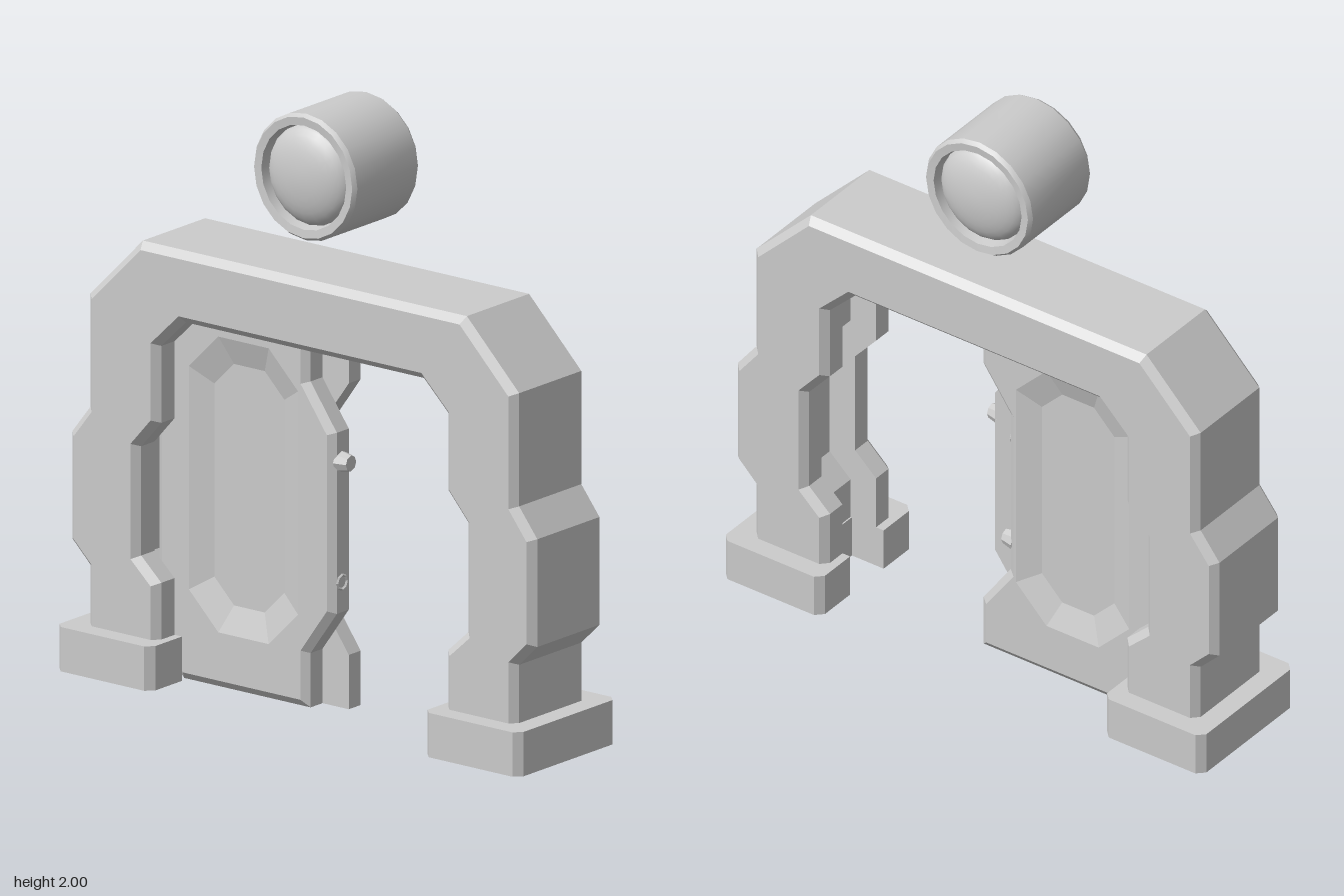
import * as THREE from 'three';
import { toCreasedNormals } from 'three/addons/utils/BufferGeometryUtils.js';

const flat = new THREE.MeshStandardMaterial({ color: 0xcccccc, flatShading: true });
const smooth = new THREE.MeshStandardMaterial({ color: 0xcccccc });

function add(parent, name, geometry, material = flat) {
  const mesh = new THREE.Mesh(geometry, material);
  mesh.name = name;
  parent.add(mesh);
  return mesh;
}

// Mitred offset of a 2D path towards its left side
function offset(pts, d, closed = false) {
  const n = pts.length;
  const normal = (i) => {
    if (closed) i = (i + n) % n;
    else i = Math.min(Math.max(i, 0), n - 2);
    const a = pts[i], b = pts[(i + 1) % n];
    const l = Math.hypot(b[0] - a[0], b[1] - a[1]);
    return [-(b[1] - a[1]) / l, (b[0] - a[0]) / l];
  };
  return pts.map((p, i) => {
    const u = normal(i - 1), v = normal(i);
    const k = d / (1 + u[0] * v[0] + u[1] * v[1]);
    return [p[0] + (u[0] + v[0]) * k, p[1] + (u[1] + v[1]) * k];
  });
}

// Skin between closed rings of equal length
function loft(rings) {
  const pos = [];
  for (let i = 0; i < rings.length - 1; i++) {
    const a = rings[i], b = rings[i + 1];
    for (let j = 0; j < a.length; j++) {
      const k = (j + 1) % a.length;
      pos.push(...a[j], ...a[k], ...b[k], ...a[j], ...b[k], ...b[j]);
    }
  }
  const g = new THREE.BufferGeometry();
  g.setAttribute('position', new THREE.Float32BufferAttribute(pos, 3));
  g.computeVertexNormals();
  return g;
}

const atZ = (pts, z) => pts.map(([x, y]) => [x, y, z]);
const toShape = (pts) => new THREE.Shape(pts.map(([x, y]) => new THREE.Vector2(x, y)));
const mirrored = (half) => [...half, ...half.slice().reverse().map(([x, y]) => [-x, y])];

function octagon(x0, x1, y0, y1, c) {
  return [[x0 + c, y0], [x1 - c, y0], [x1, y0 + c], [x1, y1 - c],
    [x1 - c, y1], [x0 + c, y1], [x0, y1 - c], [x0, y0 + c]];
}

// Arch with bevelled edges and a door channel along its inner side
function archGeometry() {
  const outer = mirrored([[0.873, 0.02], [0.873, 0.34], [0.947, 0.413], [0.947, 0.77],
    [0.873, 0.865], [0.873, 1.24], [0.66, 1.455]]);
  const inner = mirrored([[0.585, 0.02], [0.585, 0.335], [0.667, 0.41], [0.667, 0.772],
    [0.585, 0.865], [0.585, 1.12], [0.485, 1.217]]);
  const outerFace = offset(outer, 0.024);
  const innerFace = offset(inner, -0.024);
  const channel = offset(inner, -0.1);
  const F = 0.182, E = 0.157, S = 0.09;
  return loft(outer.map((o, i) => {
    const half = [[outerFace[i], -F], [innerFace[i], -F], [inner[i], -E], [inner[i], -S], [channel[i], -S]];
    const back = half.map(([p, z]) => [p[0], p[1], z]);
    const front = half.slice().reverse().map(([p, z]) => [p[0], p[1], -z]);
    return [[...o, E], [...o, -E], ...back, ...front];
  }));
}

// Foot block with chamfered corners and a notch for the door
function footGeometry() {
  const a = 0.555, b = 0.945, d = 0.25, c = 0.025, s = 0.09, n = 0.68;
  const g = new THREE.ExtrudeGeometry(toShape([
    [a + c, -d], [b - c, -d], [b, -d + c], [b, d - c], [b - c, d], [a + c, d],
    [a, d - c], [a, s], [n, s], [n, -s], [a, -s], [a, -d + c],
  ]), { depth: 0.147, bevelEnabled: false });
  return g.rotateX(-Math.PI / 2);
}

// One of the two interlocking door layers; the back one is turned upside down
const DOOR_H = 1.26, DOOR_T = 0.08;
function doorLayer(isBack) {
  const layer = new THREE.Group();
  layer.name = isBack ? 'doorBackLayer' : 'doorFrontLayer';
  const wide = 0.052, narrow = -0.055;
  const [end, mid] = isBack ? [wide, narrow] : [narrow, wide];
  const outline = [[-0.57, 0], [end, 0], [end, 0.18], [mid, 0.33], [mid, 0.93], [end, 1.08],
    [end, DOOR_H], [-0.57, DOOR_H], [-0.67, DOOR_H - 0.1], [-0.67, 0.1]];
  const face = offset(outline, 0.025, true);
  add(layer, 'doorEdge', loft([atZ(outline, 0), atZ(outline, DOOR_T - 0.02), atZ(face, DOOR_T)]));
  add(layer, 'doorInnerFace', new THREE.ShapeGeometry(toShape(outline)).rotateX(Math.PI).scale(1, -1, -1)
    .rotateX(0), new THREE.MeshStandardMaterial({ color: 0xcccccc, flatShading: true, side: THREE.DoubleSide }));

  // Sunken octagonal panel
  const cy = isBack ? DOOR_H - 0.675 : 0.675;
  const rim = octagon(-0.535, -0.09, cy - 0.49, cy + 0.49, 0.12);
  const floor = octagon(-0.455, -0.17, cy - 0.4, cy + 0.4, 0.08);
  const faceShape = toShape(face);
  faceShape.holes.push(toShape(rim));
  add(layer, 'doorFace', new THREE.ShapeGeometry(faceShape).translate(0, 0, DOOR_T));
  add(layer, 'panelSlope', loft([atZ(rim, DOOR_T), atZ(floor, DOOR_T - 0.03)]));
  add(layer, 'panelFloor', new THREE.ShapeGeometry(toShape(floor)).translate(0, 0, DOOR_T - 0.03));

  // Lock bolt above, socket rim below
  const bolt = new THREE.CylinderGeometry(0.026, 0.036, 0.045, 8).rotateZ(-Math.PI / 2);
  add(layer, 'lockBolt', bolt).position.set(mid + 0.015, 0.83, 0.035);
  const socket = new THREE.TorusGeometry(0.024, 0.005, 4, 8).rotateY(Math.PI / 2);
  add(layer, 'lockSocket', socket).position.set(mid, 0.43, 0.035);

  if (isBack) {
    layer.rotation.x = Math.PI;
    layer.position.y = DOOR_H;
  }
  return layer;
}

// Round lamp floating above the arch, with a lens at each end
function lamp() {
  const group = new THREE.Group();
  group.name = 'lamp';
  const lathe = (pts) => toCreasedNormals(
    new THREE.LatheGeometry(pts.map(([r, y]) => new THREE.Vector2(r, y)), 20).rotateX(Math.PI / 2), 0.5);
  add(group, 'lampHousing', lathe([[0.165, -0.12], [0.173, -0.163], [0.2, -0.166], [0.21, -0.152],
    [0.21, 0.152], [0.2, 0.166], [0.173, 0.163], [0.165, 0.12]]), smooth);
  const dome = [];
  for (let i = 0; i <= 8; i++) {
    const t = (i / 8) * Math.PI / 2;
    dome.push([0.167 * Math.cos(t), 0.12 + 0.069 * Math.sin(t)]);
  }
  dome[8][0] = 0;
  for (const turn of [0, Math.PI]) add(group, 'lampLens', lathe(dome), smooth).rotation.y = turn;
  group.position.y = 1.79;
  return group;
}

export function createModel() {
  const model = new THREE.Group();
  model.name = 'slidingDoorGate';
  add(model, 'arch', archGeometry());
  for (const turn of [0, Math.PI]) add(model, 'foot', footGeometry()).rotation.y = turn;
  const door = new THREE.Group();
  door.name = 'door';
  door.add(doorLayer(false), doorLayer(true));
  model.add(door, lamp());
  return model;
}
